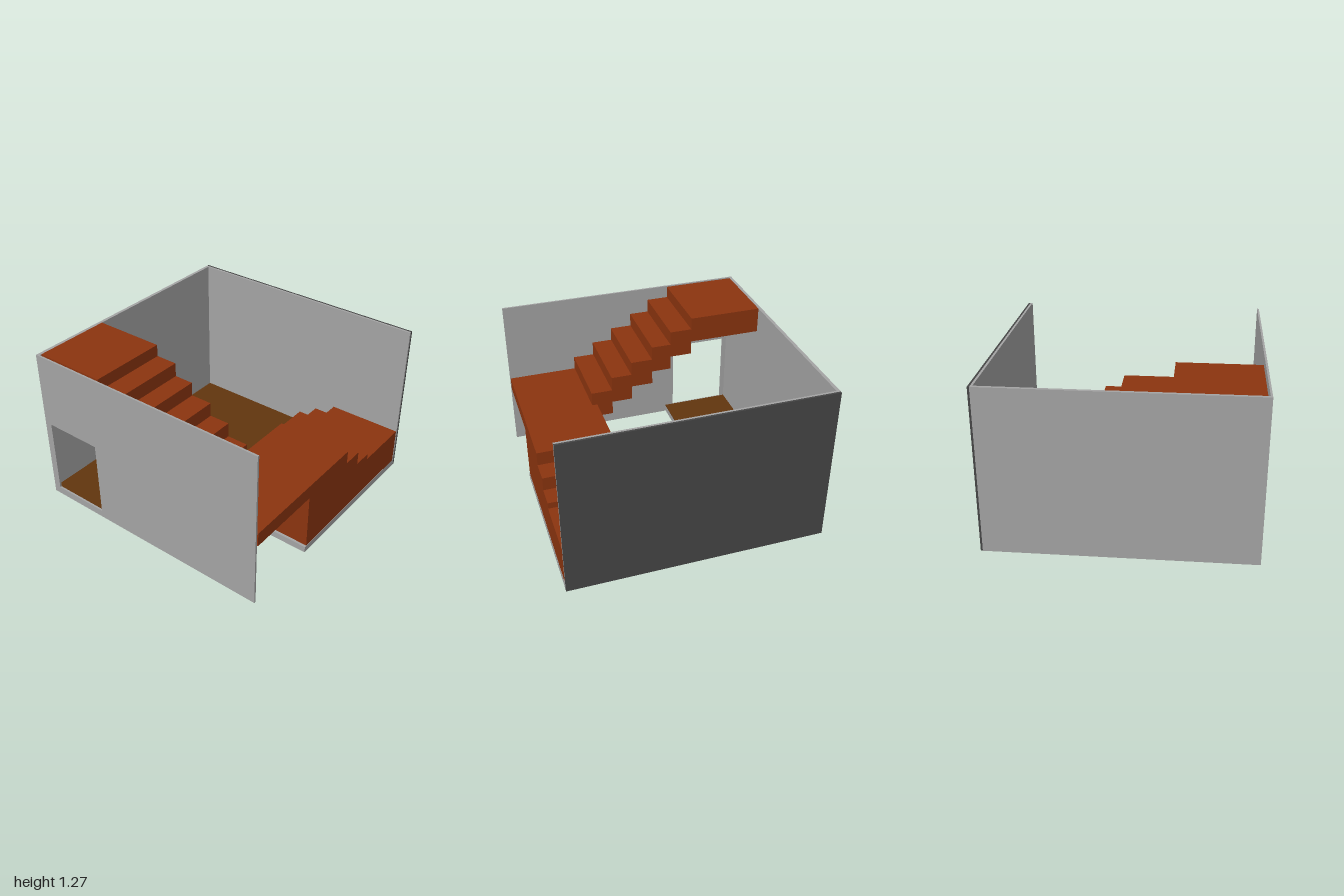
import * as THREE from 'three';

const grey = new THREE.MeshStandardMaterial({ name: 'wall grey', color: 0xa4a4a4 });
const dark = new THREE.MeshStandardMaterial({ name: 'dark grey', color: 0x464646 });
const rust = new THREE.MeshStandardMaterial({ name: 'rust stair', color: 0x8b340f });
const brown = new THREE.MeshStandardMaterial({ name: 'brown floor', color: 0x62350e });

// Box given by its lower and upper corners
function box(name, material, [x0, y0, z0], [x1, y1, z1]) {
  const mesh = new THREE.Mesh(new THREE.BoxGeometry(x1 - x0, y1 - y0, z1 - z0), material);
  mesh.position.set((x0 + x1) / 2, (y0 + y1) / 2, (z0 + z1) / 2);
  mesh.name = name;
  return mesh;
}

const toPoints = (list) => list.map(([x, y]) => new THREE.Vector2(x, y));

function extrude(name, material, outline, depth, hole) {
  const shape = new THREE.Shape(toPoints(outline));
  if (hole) shape.holes.push(new THREE.Path(toPoints(hole)));
  const mesh = new THREE.Mesh(new THREE.ExtrudeGeometry(shape, { depth, bevelEnabled: false }), material);
  mesh.name = name;
  return mesh;
}

// Horizontal slab from an outline of [x, z] corners
function slab(name, material, outline, y0, y1) {
  const mesh = extrude(name, material, outline.map(([x, z]) => [x, -z]), y1 - y0);
  mesh.geometry.rotateX(-Math.PI / 2);
  mesh.position.y = y0;
  return mesh;
}

export function createModel() {
  const model = new THREE.Group();
  model.name = 'stairwell';
  const H = 1.27;

  // Walls: the right one has a dark outer layer
  model.add(box('backWall', grey, [-1, 0, -1], [0.985, H, -0.975]));
  model.add(box('rightWallLining', grey, [0.968, 0, -0.975], [0.985, H, 1]));
  model.add(box('rightWallCladding', dark, [0.985, 0, -1], [1, H, 1]));

  // Left wall with a doorway near the back corner
  const leftWall = extrude('leftWall', grey,
    [[-0.975, 0], [1, 0], [1, H], [-0.975, H]], 0.015,
    [[-0.94, 0.06], [-0.94, 0.675], [-0.47, 0.675], [-0.47, 0.06]]);
  leftWall.geometry.rotateY(-Math.PI / 2);
  leftWall.position.x = -0.985;
  model.add(leftWall);

  // Floor slab and its covering, cut away at the front left
  const plan = (front) => [[-0.985, -0.975], [0.968, -0.975], [0.968, front],
    [-0.37, front], [-0.37, -0.4], [-0.985, -0.4]];
  model.add(slab('floorSlab', grey, plan(1), 0.002, 0.055));
  model.add(slab('floorCovering', brown, plan(0.42), 0.055, 0.064));

  // Solid lower landing, middle steps and the overhanging upper landing
  const landing = extrude('landings', rust, [
    [-0.35, 0], [0.965, 0], [0.965, 0.35], [0.49, 0.35], [0.49, 0.4], [0.33, 0.4],
    [0.33, 0.51], [0.16, 0.51], [0.16, 0.62], [-0.97, 0.62], [-0.97, 0.51], [-0.35, 0.51],
  ], 0.6);
  landing.position.z = 0.398;
  model.add(landing);

  // Entry steps up to the lower landing
  model.add(box('entryStep', rust, [0.38, 0, 0.06], [0.965, 0.16, 0.22]));
  model.add(box('entryStep', rust, [0.38, 0, 0.22], [0.965, 0.26, 0.398]));

  // Upper flight: each block overlaps the one below, ending in the top platform
  const edges = [0.44, 0.27, 0.105, -0.07, -0.225, -0.4, -0.975];
  const tops = [0.73, 0.845, 0.955, 1.065, 1.175, H];
  tops.forEach((top, i) => {
    const name = i === tops.length - 1 ? 'topPlatform' : 'upperStep';
    const bottom = i === 0 ? 0.51 : tops[i - 1] - 0.11;
    model.add(box(name, rust, [-0.97, bottom, edges[i + 1]], [-0.35, top, edges[i]]));
  });

  return model;
}
